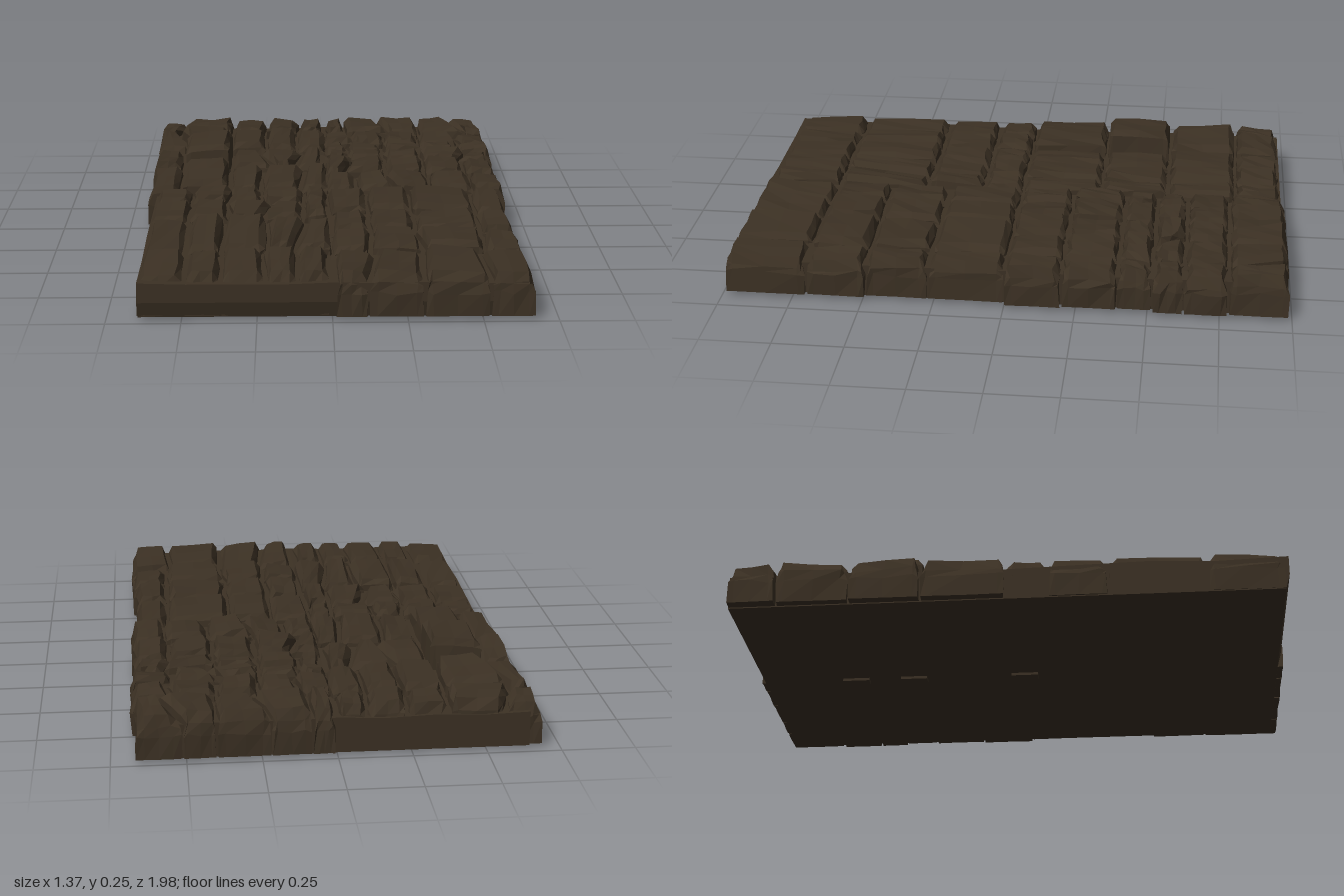
import * as THREE from 'three';

const stoneMat = new THREE.MeshStandardMaterial({ color: 0x3c3124, flatShading: true });
stoneMat.name = 'dark brown stone';

// Four fields of paving, each with its joint lines along z and x
const fields = [
  { name: 'backLeft', z: [-0.97, -0.8, -0.545, -0.295, 0], x: [-0.68, -0.57, -0.38, -0.24, -0.1, 0] },
  { name: 'backRight', z: [-0.99, -0.78, -0.625, -0.515, -0.395, -0.2, 0], x: [0, 0.1, 0.24, 0.4, 0.55, 0.675] },
  { name: 'frontLeft', z: [0, 0.15, 0.36, 0.7, 0.97], x: [-0.65, -0.5, -0.36, -0.23, -0.1, 0] },
  { name: 'frontRight', z: [0, 0.27, 0.49, 0.7, 0.99], x: [0, 0.14, 0.3, 0.53, 0.67] },
];

const { lerp } = THREE.MathUtils;

// Repeatable noise in -1..1
function noise(a, b = 0, c = 0, d = 0) {
  const s = Math.sin(a * 12.99 + b * 78.23 + c * 37.72 + d * 51.31 + 4.1) * 43758.5453;
  return (s - Math.floor(s)) * 2 - 1;
}

// Height of a stone from its centre, with one raised stone at the back left
function stoneHeight(x, z, seed) {
  const raised = 0.066 * Math.exp(-((x + 0.475) ** 2) / 0.008 - ((z + 0.42) ** 2) / 0.06);
  const edge = Math.abs(x) > 0.55 ? 0.01 : 0;
  return 0.169 - z * 0.004 - edge + raised + noise(seed, 5) * 0.007;
}

// A worn block filling a four-cornered plot, with chamfered rim and uneven top.
// Each side joint is given as [x at back, x at front].
function makeStone(seed, left, right, z0, z1) {
  const geo = new THREE.BoxGeometry(1, 1, 1, 4, 2, 4);
  const p = geo.attributes.position;
  const width = (right[0] + right[1] - left[0] - left[1]) / 2;
  const h = stoneHeight((left[0] + right[1]) / 2, (z0 + z1) / 2, seed);
  const tiltX = noise(seed, 1) * 0.008;
  const tiltZ = noise(seed, 2) * 0.008;
  // Grid spacing: rim, chamfer, middle, chamfer, rim
  const spaced = (i, size) => {
    const bevel = Math.min(0.026 / size, 0.24);
    return [0, bevel, 0.5, 1 - bevel, 1][i];
  };
  for (let n = 0; n < p.count; n++) {
    const i = Math.round((p.getX(n) + 0.5) * 4);
    const j = Math.round((p.getY(n) + 0.5) * 2);
    const k = Math.round((p.getZ(n) + 0.5) * 4);
    const wobble = (c) => noise(seed, i + c * 0.7, j, k);
    const u = spaced(i, width);
    const w = spaced(k, z1 - z0);
    const rimX = i % 4 === 0;
    const rimZ = k % 4 === 0;
    let x = lerp(lerp(left[0], left[1], w), lerp(right[0], right[1], w), u);
    let z = lerp(z0, z1, w);
    // Pull the sides in to leave a joint, wider at the top
    const inset = j === 2 ? 0.01 : 0.004;
    if (rimX) x += i ? -inset : inset;
    if (rimZ) z += k ? -inset : inset;
    x += wobble(1) * (j ? 0.006 : 0.002);
    z += wobble(2) * (j ? 0.006 : 0.002);
    let y = 0.014;
    if (j === 1) y = 0.095 + wobble(3) * 0.008;
    if (j === 2) {
      y = h + tiltX * (u * 2 - 1) + tiltZ * (w * 2 - 1) + wobble(3) * 0.004;
      if (rimX || rimZ) y -= 0.024;
      if (rimX && rimZ) y -= 0.007;
      // Wear down the outer edges of the whole floor
      if ((rimX && Math.abs(x) > 0.6) || (rimZ && Math.abs(z) > 0.94)) y -= 0.015;
    }
    p.setXYZ(n, x, y, z);
  }
  geo.computeVertexNormals();
  return new THREE.Mesh(geo, stoneMat);
}

// Bedding slab seen in the joints, undercut along its front
function makeSlab() {
  const geo = new THREE.BoxGeometry(1.29, 0.11, 1.95, 8, 2, 8);
  geo.translate(0, 0.065, 0.005);
  const p = geo.attributes.position;
  for (let n = 0; n < p.count; n++) {
    const x = p.getX(n), y = p.getY(n), z = p.getZ(n);
    if (z > 0.97 && y < 0.02) p.setZ(n, 0.965);
    if (y > 0.1) p.setY(n, y + 0.01 + noise(x, z) * 0.006);
  }
  geo.computeVertexNormals();
  const slab = new THREE.Mesh(geo, stoneMat);
  slab.name = 'beddingSlab';
  return slab;
}

// One field of stones, its inner joints shifted and slanted row by row
function makeField({ name, z, x }, f) {
  const field = new THREE.Group();
  field.name = `${name}Paving`;
  for (let r = 0; r < z.length - 1; r++) {
    const joints = x.map((at, i) => {
      const seed = f * 100 + r * 10 + i;
      const outer = Math.abs(at) > 0.6;
      if (at === 0 || outer) {
        const shift = noise(seed, 7) * 0.012;
        return [at + shift, at + shift];
      }
      const shift = noise(seed, 8) * 0.015;
      const slant = noise(seed, 9) ** 3 * 0.045;
      return [at + shift - slant, at + shift + slant];
    });
    for (let i = 0; i < x.length - 1; i++) {
      const stone = makeStone(f * 100 + r * 10 + i + 1, joints[i], joints[i + 1], z[r], z[r + 1]);
      stone.name = `pavingStone${r + 1}_${i + 1}`;
      field.add(stone);
    }
  }
  return field;
}

export function createModel() {
  const model = new THREE.Group();
  model.name = 'stone floor';
  model.add(makeSlab());
  fields.forEach((field, f) => model.add(makeField(field, f)));

  // Small bumps along the middle of the underside
  for (const z of [-0.62, -0.4, 0.02]) {
    const bump = new THREE.Mesh(new THREE.BoxGeometry(0.04, 0.014, 0.1), stoneMat);
    bump.position.set(0, 0.007, z);
    bump.name = 'undersideBump';
    model.add(bump);
  }
  return model;
}
